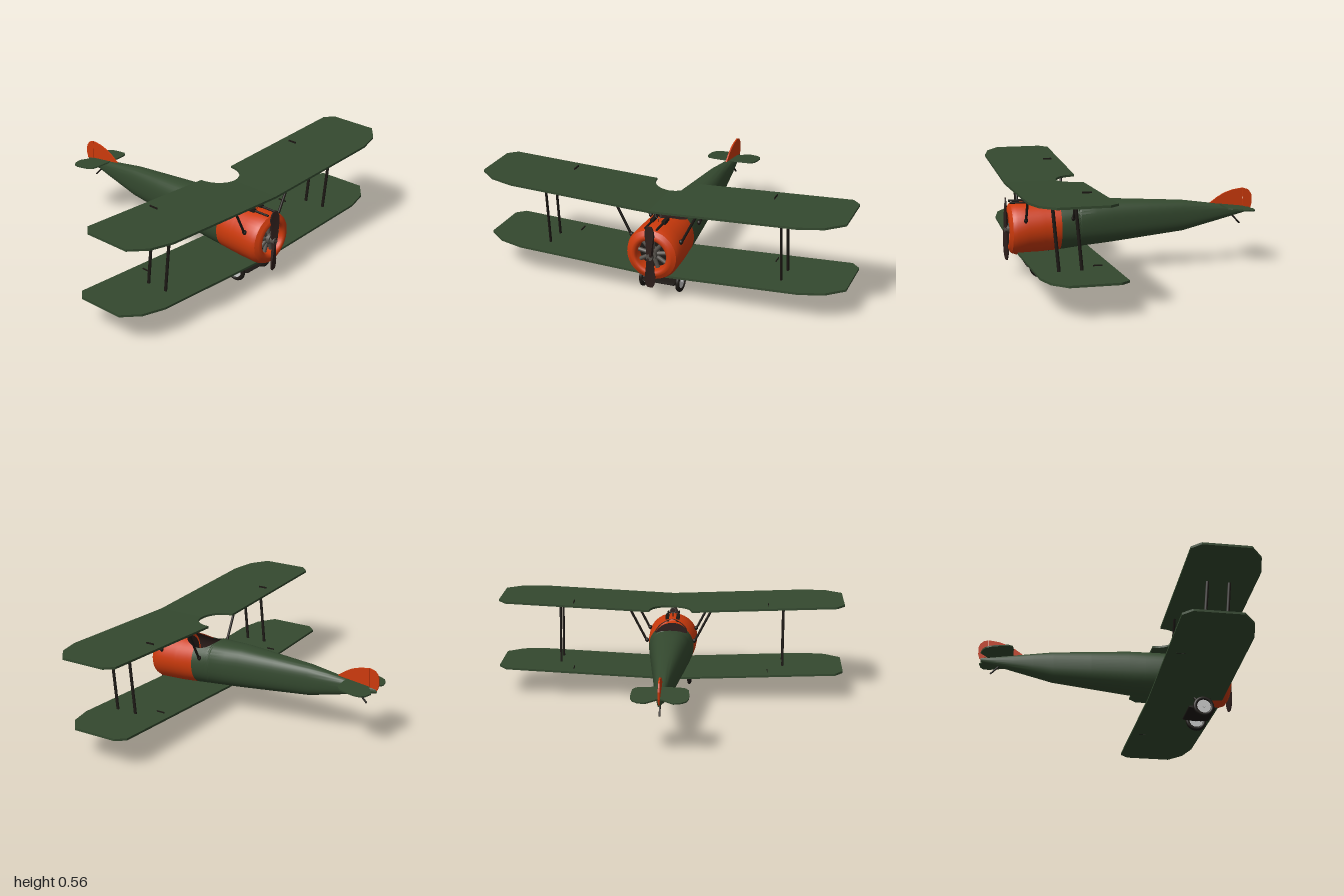
import * as THREE from 'three';
import { toCreasedNormals } from 'three/addons/utils/BufferGeometryUtils.js';

const mat = (color) => new THREE.MeshStandardMaterial({ color, side: THREE.DoubleSide });
const green = mat(0x34492f), orange = mat(0xcc3a0c), wood = mat(0x2e1f1c);
const dark = mat(0x1c1814), metal = mat(0x55504a), pale = mat(0xcccccc);
const SIDES = [1, -1];
const V = (x, y, z) => new THREE.Vector3(x, y, z);

// Fuselage stations: z, half width, bottom, top, squareness
const STATIONS = [
  [0.69, 0.115, 0.15, 0.38, 2], [0.677, 0.136, 0.129, 0.401, 2], [0.65, 0.145, 0.12, 0.41, 2],
  [0.53, 0.142, 0.125, 0.41, 2], [0.41, 0.132, 0.137, 0.408, 2.1], [0.3, 0.12, 0.15, 0.405, 2.4],
  [0.12, 0.1, 0.164, 0.405, 2.5], [-0.3, 0.054, 0.205, 0.378, 2.6], [-0.52, 0.03, 0.257, 0.346, 2.5],
  [-0.7, 0.006, 0.3, 0.322, 2.2],
];
// Height of the cockpit rim: z, y
const RIM = [[0.53, 0.412], [0.5, 0.404], [0.46, 0.385], [0.42, 0.372], [0.38, 0.37], [0.345, 0.378], [0.32, 0.39], [0.298, 0.408]];

function sample(table, z) {
  let i = 0;
  while (i < table.length - 2 && table[i + 1][0] > z) i++;
  const a = table[i], b = table[i + 1];
  const t = THREE.MathUtils.clamp((a[0] - z) / (a[0] - b[0]), 0, 1);
  return a.map((v, k) => v + (b[k] - v) * t);
}

// Skin the fuselage over a list of z values, leaving the cockpit open
function fuselageSkin(zs, inset = 0) {
  const N = 40, pos = [], idx = [];
  zs.forEach((z, i) => {
    const [, w, bottom, top, n] = sample(STATIONS, z);
    const c = (bottom + top) / 2, h = (top - bottom) / 2;
    const rim = z < 0.53 && z > 0.298 ? sample(RIM, z)[1] : 9;
    const t0 = rim < top ? Math.acos(Math.pow((rim - c) / h, n / 2)) : 0;
    const bend = (v) => Math.sign(v) * Math.pow(Math.abs(v), 2 / n);
    for (let j = 0; j <= N; j++) {
      const t = t0 + (2 * Math.PI - 2 * t0) * j / N;
      pos.push((w - inset) * bend(Math.sin(t)), c + (h - inset) * bend(Math.cos(t)), z);
      if (i < zs.length - 1 && j < N) {
        const a = i * (N + 1) + j, d = a + N + 1;
        idx.push(a, a + 1, d, a + 1, d + 1, d);
      }
    }
  });
  const g = new THREE.BufferGeometry();
  g.setAttribute('position', new THREE.Float32BufferAttribute(pos, 3));
  g.setIndex(idx);
  return toCreasedNormals(g, 0.5);
}

// Flat panel from an outline of [x, z] points, hanging down from y = 0
function panel(points, thickness) {
  const shape = new THREE.Shape(points.map((p) => new THREE.Vector2(p[0], p[1])));
  return new THREE.ExtrudeGeometry(shape, { depth: thickness, bevelEnabled: false }).rotateX(Math.PI / 2);
}

export function createModel() {
  const model = new THREE.Group();
  const add = (name, geometry, material, x = 0, y = 0, z = 0, parent = model) => {
    const m = new THREE.Mesh(geometry, material);
    m.name = name;
    m.position.set(x, y, z);
    parent.add(m);
    return m;
  };
  // Round or flattened rod between two points
  const rod = (name, a, b, r, material = dark, flat = 1) => {
    const g = new THREE.CylinderGeometry(r, r, a.distanceTo(b), 10).scale(1, 1, flat);
    const m = add(name, g, material);
    m.position.copy(a).lerp(b, 0.5);
    m.quaternion.setFromUnitVectors(V(0, 1, 0), b.clone().sub(a).normalize());
    return m;
  };

  // Fuselage, cowling and cockpit lining
  const pit = [0.53, 0.515, 0.5, 0.48, 0.46, 0.44, 0.42, 0.41];
  const rear = [0.41, 0.395, 0.38, 0.362, 0.345, 0.332, 0.32, 0.31, 0.298];
  add('cowling', fuselageSkin([0.69, 0.684, 0.677, 0.665, 0.65, 0.59, ...pit]), orange);
  add('fuselage', fuselageSkin([...rear, 0.21, 0.12, -0.09, -0.3, -0.41, -0.52, -0.61, -0.7]), green);
  add('cockpitLining', fuselageSkin([...pit, ...rear.slice(1)], 0.005), wood);
  for (const z of [0.52, 0.305])
    add('cockpitBulkhead', new THREE.CircleGeometry(0.115, 32), wood, 0, 0.272, z);

  // Cowl lip, radial engine
  const lip = [[0.115, 0.69], [0.105, 0.695], [0.093, 0.694], [0.084, 0.685], [0.082, 0.63]];
  add('cowlLip', new THREE.LatheGeometry(lip.map((p) => new THREE.Vector2(...p)), 40).rotateX(Math.PI / 2), orange, 0, 0.265, 0);
  add('engineBackplate', new THREE.CircleGeometry(0.084, 32), dark, 0, 0.265, 0.635);
  add('crankcase', new THREE.CylinderGeometry(0.028, 0.032, 0.05, 20).rotateX(Math.PI / 2), metal, 0, 0.265, 0.66);
  for (let i = 0; i < 9; i++) {
    const a = (i / 9) * Math.PI * 2, dir = V(Math.sin(a), Math.cos(a), 0), hub = V(0, 0.265, 0.658);
    rod('engineCylinder', hub.clone().addScaledVector(dir, 0.025), hub.clone().addScaledVector(dir, 0.08), 0.011, metal);
  }

  // Propeller: a bar narrowed at the hub and tips, twisted along its length
  const blade = new THREE.BoxGeometry(1, 0.344, 1, 4, 32, 1);
  const p = blade.attributes.position;
  for (let i = 0; i < p.count; i++) {
    const y = p.getY(i), s = Math.abs(y) / 0.172;
    const width = s < 0.7 ? 0.03 + 0.026 * s / 0.7 : 0.056 * Math.sqrt(1 - Math.pow((s - 0.7) / 0.34, 2));
    const lx = p.getX(i) * width, lz = p.getZ(i) * (0.018 - 0.012 * s);
    const a = Math.sign(y) * 0.45 * (1 - 0.6 * s);
    p.setXYZ(i, lx * Math.cos(a) - lz * Math.sin(a), y, lx * Math.sin(a) + lz * Math.cos(a));
  }
  add('propeller', toCreasedNormals(blade, 0.7), wood, 0, 0.262, 0.7);
  add('propellerHub', new THREE.CylinderGeometry(0.018, 0.02, 0.05, 20).rotateX(Math.PI / 2), metal, 0, 0.262, 0.685);

  // Wings: mirrored halves raised towards the tips
  const wing = (name, y, shift, cutout) => {
    for (const s of SIDES) {
      const outline = [[0, 0.703], [0.78, 0.703], [0.91, 0.672], [1, 0.6], [1, 0.34], [0.955, 0.292]];
      if (cutout) {
        for (let i = 0; i <= 12; i++) {
          const a = (i / 12) * Math.PI / 2;
          outline.push([0.122 * Math.cos(a), 0.292 + 0.126 * Math.sin(a)]);
        }
      } else outline.push([0, 0.292]);
      const g = panel(outline.map(([x, z]) => [s * x, z + shift]), 0.012);
      const q = g.attributes.position;
      for (let i = 0; i < q.count; i++) q.setY(i, q.getY(i) + 0.044 * Math.abs(q.getX(i)));
      g.computeVertexNormals();
      add(name, g, green, 0, y, 0);
    }
  };
  wing('upperWing', 0.522, 0, true);
  wing('lowerWing', 0.14, -0.055, false);

  for (const s of SIDES) {
    // Aileron horns
    add('aileronHorn', new THREE.BoxGeometry(0.004, 0.02, 0.05), dark, s * 0.565, 0.546, 0.365);
    add('aileronHorn', new THREE.BoxGeometry(0.004, 0.02, 0.05), dark, s * 0.565, 0.162, 0.31);
    // Struts between the wings and over the fuselage
    rod('interplaneStrut', V(s * 0.655, 0.165, 0.53), V(s * 0.655, 0.543, 0.563), 0.0065, dark, 1.4);
    rod('interplaneStrut', V(s * 0.655, 0.165, 0.412), V(s * 0.655, 0.543, 0.445), 0.0065, dark, 1.4);
    for (const z of [0.61, 0.35]) {
      rod('cabaneStrut', V(s * 0.135, 0.32, z), V(s * 0.24, 0.525, z), 0.007);
      add('strutFoot', new THREE.SphereGeometry(0.012, 12, 8), dark, s * 0.138, 0.332, z);
    }
    // Landing gear
    for (const z of [0.582, 0.478]) rod('gearStrut', V(s * 0.056, 0.145, z), V(s * 0.088, 0.065, 0.53), 0.006);
    add('tyre', new THREE.TorusGeometry(0.048, 0.0115, 12, 36).rotateY(Math.PI / 2), dark, s * 0.103, 0.064, 0.53);
    add('wheelDisc', new THREE.CylinderGeometry(0.046, 0.046, 0.012, 32).rotateZ(Math.PI / 2), pale, s * 0.103, 0.064, 0.53);
    add('wheelHub', new THREE.CylinderGeometry(0.008, 0.008, 0.024, 12).rotateZ(Math.PI / 2), pale, s * 0.103, 0.064, 0.53);
    // Guns in front of the cockpit
    add('gunBarrel', new THREE.CylinderGeometry(0.006, 0.006, 0.12, 10).rotateX(Math.PI / 2), dark, s * 0.032, 0.412, 0.62);
    add('gunBody', new THREE.BoxGeometry(0.02, 0.03, 0.065), dark, s * 0.032, 0.407, 0.56);
  }
  add('axleFairing', new THREE.CylinderGeometry(0.009, 0.009, 0.18, 16).rotateZ(Math.PI / 2).scale(1, 1, 8.5), dark, 0, 0.066, 0.525);
  rod('sightPost', V(0, 0.39, 0.58), V(0, 0.43, 0.58), 0.002);
  add('sightRing', new THREE.TorusGeometry(0.016, 0.002, 6, 24), metal, 0, 0.446, 0.58);

  // Tailplane, sloping down to the rear
  for (const s of SIDES) {
    const outline = [[0, 0.09], [0.1, 0.085], [0.13, 0.077], [0.147, 0.055], [0.152, 0], [0.15, -0.04], [0.14, -0.068], [0.115, -0.086], [0.073, -0.095], [0, -0.045]];
    add('tailplane', panel(outline.map(([x, z]) => [s * x, z]), 0.008), green, 0, 0.336, -0.61).rotation.x = -0.13;
  }

  // Fin and rudder, drawn as [z, y] and turned into the centre plane
  const upright = (name, pts) => {
    const shape = new THREE.Shape(pts.map(([z, y]) => new THREE.Vector2(-z, y)));
    const g = new THREE.ExtrudeGeometry(shape, { depth: 0.008, bevelEnabled: false });
    add(name, g.translate(0, 0, -0.004).rotateY(Math.PI / 2), orange);
  };
  upright('fin', [[-0.465, 0.355], [-0.51, 0.387], [-0.55, 0.409], [-0.6, 0.425], [-0.657, 0.433], [-0.657, 0.325]]);
  upright('rudder', [[-0.66, 0.433], [-0.69, 0.423], [-0.706, 0.405], [-0.714, 0.385], [-0.714, 0.345], [-0.706, 0.318], [-0.69, 0.306], [-0.66, 0.296]]);
  rod('tailSkid', V(0, 0.29, -0.585), V(0, 0.23, -0.643), 0.005);

  return model;
}
